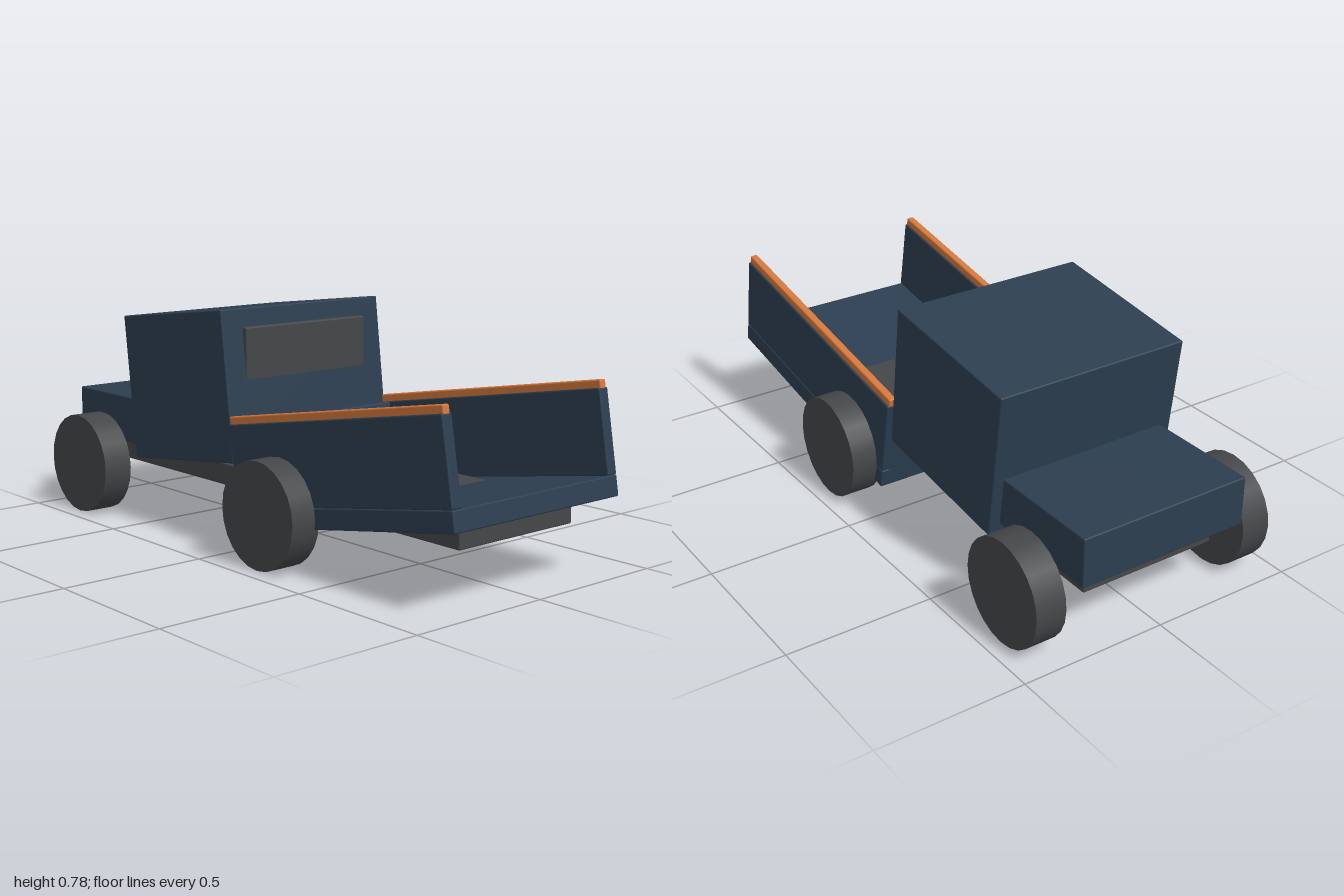
import * as THREE from 'three';
import { RoundedBoxGeometry } from 'three/addons/geometries/RoundedBoxGeometry.js';

const navy = new THREE.MeshStandardMaterial({ color: 0x2c3e50 });
const dark = new THREE.MeshStandardMaterial({ color: 0x444648 });
const copper = new THREE.MeshStandardMaterial({ color: 0xd2773c });

// Softly bevelled box given by its limits in x and y, and its centre and width in z
function box(parent, name, material, x0, x1, y0, y1, width, z = 0) {
  const geometry = new RoundedBoxGeometry(x1 - x0, y1 - y0, width, 2, 0.005);
  const mesh = new THREE.Mesh(geometry, material);
  mesh.position.set((x0 + x1) / 2, (y0 + y1) / 2, z);
  mesh.name = name;
  parent.add(mesh);
  return mesh;
}

export function createModel() {
  const truck = new THREE.Group();
  truck.name = 'pickupTruck';

  // Chassis and hood
  box(truck, 'chassis', dark, -0.93, 0.905, 0.17, 0.245, 0.488);
  box(truck, 'hood', navy, -1, -0.45, 0.25, 0.415, 0.606);

  // Cab, leaning forward, with an upright rear window
  const cab = box(truck, 'cab', navy, -0.617, -0.051, 0.249, 0.749, 0.682);
  cab.rotation.z = THREE.MathUtils.degToRad(7);
  box(truck, 'rearWindow', dark, -0.095, -0.055, 0.5, 0.72, 0.516);

  // Cargo bed, tilted about its lower front edge
  const bed = new THREE.Group();
  bed.name = 'cargoBed';
  bed.position.set(0.03, 0.085, 0);
  bed.rotation.z = THREE.MathUtils.degToRad(10);
  truck.add(bed);
  box(bed, 'bedFloor', navy, 0, 0.98, 0, 0.067, 0.71);
  box(bed, 'bedFrontWall', navy, 0, 0.045, 0.06, 0.334, 0.66);
  for (const [side, s] of [['left', 1], ['right', -1]]) {
    box(bed, side + 'BedWall', navy, 0, 0.98, 0.067, 0.335, 0.04, s * 0.335);
    box(bed, side + 'BedRail', copper, 0, 0.98, 0.33, 0.36, 0.027, s * 0.335);
  }

  // Wheels
  const wheelGeometry = new THREE.CylinderGeometry(0.175, 0.175, 0.105, 24).rotateX(Math.PI / 2);
  for (const [end, x] of [['front', -0.8], ['rear', 0.228]]) {
    for (const z of [-0.392, 0.392]) {
      const wheel = new THREE.Mesh(wheelGeometry, dark);
      wheel.name = end + 'Wheel';
      wheel.position.set(x, 0.175, z);
      truck.add(wheel);
    }
  }
  return truck;
}
